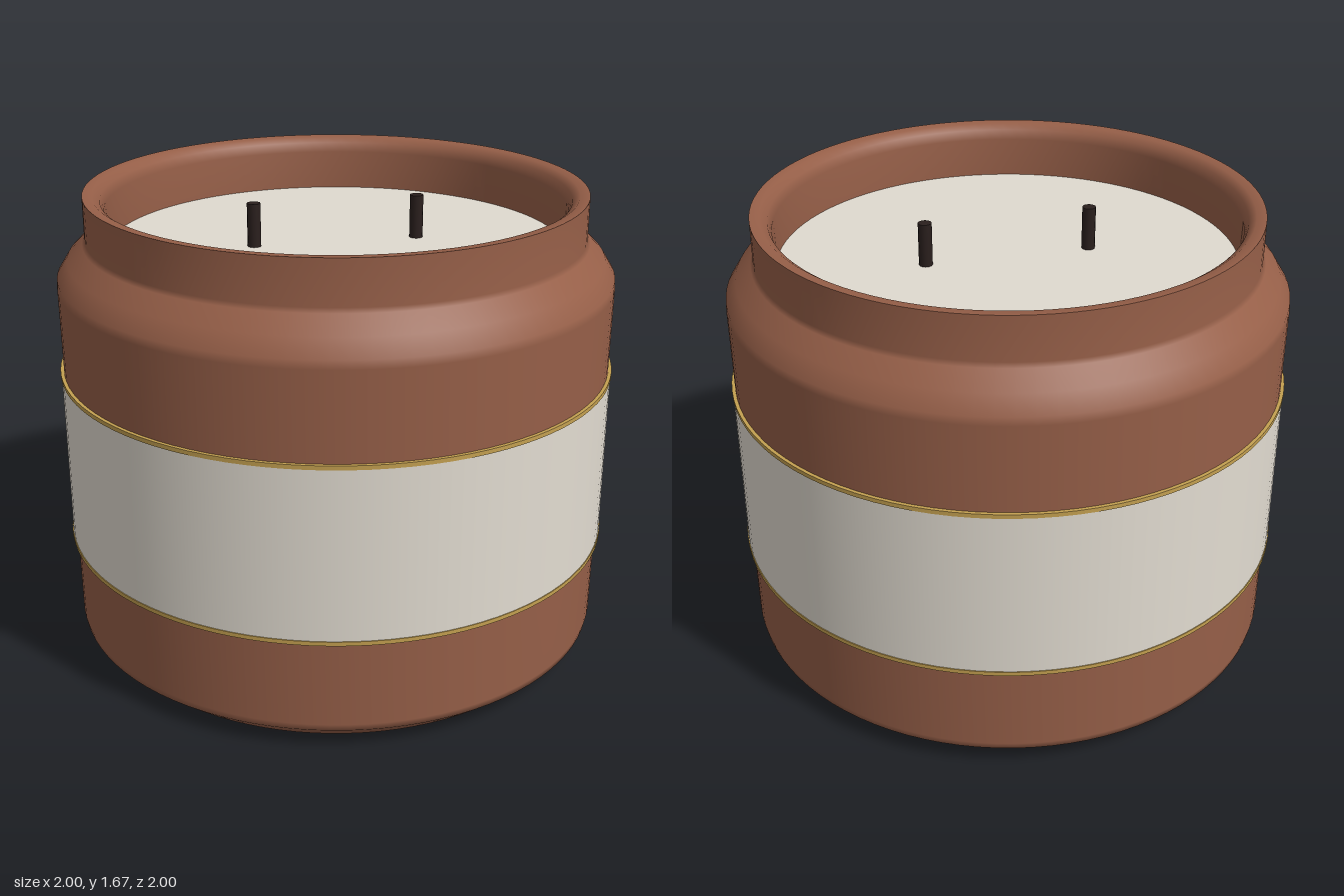
import * as THREE from 'three';

const SEGMENTS = 96;

function material(name, color) {
  const m = new THREE.MeshStandardMaterial({ color });
  m.name = name;
  return m;
}

function add(group, name, geometry, mat, x = 0, y = 0, z = 0) {
  const mesh = new THREE.Mesh(geometry, mat);
  mesh.name = name;
  mesh.position.set(x, y, z);
  group.add(mesh);
  return mesh;
}

// Turns [radius, height] pairs into a round solid
function lathe(points) {
  return new THREE.LatheGeometry(points.map(([r, y]) => new THREE.Vector2(r, y)), SEGMENTS);
}

export function createModel() {
  const group = new THREE.Group();
  group.name = 'candleJar';

  const clay = material('terracotta', 0x965f48);
  const paper = material('label cream', 0xe2dcd1);
  const waxMat = material('wax cream', 0xe0dacf);
  const gold = material('gold trim', 0xc4a050);
  const charcoal = material('charred wick', 0x2a1f1d);

  // Jar outside: base, chamfer, wall, shoulder and neck
  add(group, 'jarBody', lathe([
    [0, 0], [0.87, 0], [0.89, 0.003], [0.975, 0.075], [0.98, 0.1],
    [0.985, 0.7], [0.99, 1.36], [0.988, 1.39], [0.95, 1.45],
    [0.895, 1.505], [0.885, 1.52], [0.885, 1.675],
  ]), clay);

  // Rim rolling over into the inner wall
  add(group, 'jarRim', lathe([
    [0.885, 1.675], [0.85, 1.673], [0.825, 1.655], [0.812, 1.62], [0.81, 1.46],
  ]), clay);

  // Label wrapped around the wall
  add(group, 'labelBand', lathe([[0.997, 0.425], [0.997, 1.04]]), paper);

  // Thin gold edging along both label borders
  for (const [name, y] of [['lowerTrim', 0.415], ['upperTrim', 1.037]]) {
    add(group, name, lathe([
      [0.97, 0], [1, 0], [1, 0], [1, 0.015], [1, 0.015], [0.97, 0.015],
    ]), gold, 0, y, 0);
  }

  // Wax surface
  const wax = new THREE.CircleGeometry(0.812, SEGMENTS);
  wax.rotateX(-Math.PI / 2);
  add(group, 'wax', wax, waxMat, 0, 1.475, 0);

  // Two wicks on opposite sides of the centre
  for (const [name, side] of [['leftWick', 1], ['rightWick', -1]]) {
    add(group, name, new THREE.CylinderGeometry(0.024, 0.024, 0.16, 12), charcoal,
      side * 0.287, 1.55, side * -0.067);
  }

  return group;
}
